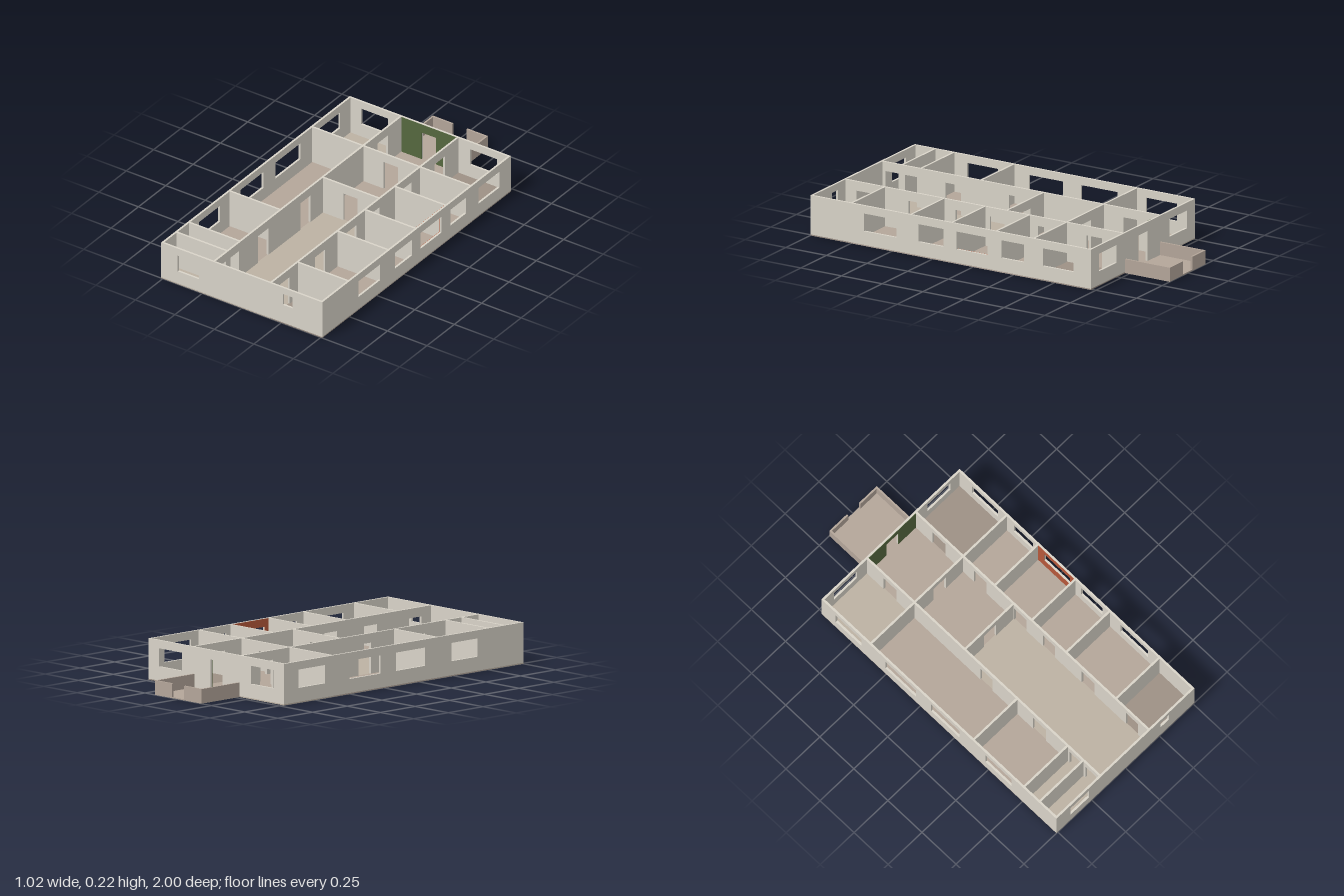
import * as THREE from 'three';

const FLOOR = 0.006, TOP = 0.22, DOOR = 0.17, SILL = 0.08, HEAD = 0.177;
const T = 0.012; // wall thickness

const mat = (color) => new THREE.MeshStandardMaterial({ color });
const wallMat = mat(0xd8d3c8), tan = mat(0xb3a599), light = mat(0xbcb1a2), dark = mat(0x9d9085);
const green = mat(0x55683f), orange = mat(0xb5583a);

const win = (a, b, y0 = SILL, y1 = HEAD) => ({ a, b, y0, y1 });
const door = (a, b) => ({ a, b });

export function createModel() {
  const model = new THREE.Group();

  function box(name, x0, x1, y0, y1, z0, z1, material) {
    const mesh = new THREE.Mesh(new THREE.BoxGeometry(x1 - x0, y1 - y0, z1 - z0), material);
    mesh.position.set((x0 + x1) / 2, (y0 + y1) / 2, (z0 + z1) / 2);
    mesh.name = name;
    model.add(mesh);
  }

  // Upright wall along x or z; doors notch the bottom edge, windows are holes
  function wall(name, axis, from, to, at, openings = [], material = wallMat, t = T, top = TOP) {
    const shape = new THREE.Shape().moveTo(from, FLOOR);
    openings.filter((o) => o.y0 === undefined).sort((p, q) => p.a - q.a).forEach(({ a, b }) => {
      shape.lineTo(a, FLOOR).lineTo(a, DOOR).lineTo(b, DOOR).lineTo(b, FLOOR);
    });
    shape.lineTo(to, FLOOR).lineTo(to, top).lineTo(from, top).closePath();
    openings.filter((o) => o.y0 !== undefined).forEach(({ a, b, y0, y1 }) => {
      shape.holes.push(new THREE.Path().moveTo(a, y0).lineTo(a, y1).lineTo(b, y1).lineTo(b, y0).closePath());
    });
    const geometry = new THREE.ExtrudeGeometry(shape, { depth: t, bevelEnabled: false });
    geometry.translate(0, 0, -t / 2);
    if (axis === 'z') geometry.rotateY(-Math.PI / 2);
    const mesh = new THREE.Mesh(geometry, material);
    mesh.position.set(axis === 'z' ? at : 0, 0, axis === 'x' ? at : 0);
    mesh.name = name;
    model.add(mesh);
  }

  const W = 0.51, H = 0.18, BACK = -0.725, FRONT = 1;

  // Room floors: [x0, x1, z0, z1, material]
  [
    [-W, -H, BACK, -0.37, light], [-W, -H, -0.37, 0.385, tan], [-W, -H, 0.385, 0.755, tan],
    [-W, -H, 0.755, FRONT, light],
    [-H, H, BACK, 0, tan], [-H, H, 0, FRONT, light],
    [H, W, BACK, -0.37, dark], [H, W, -0.37, 0.75, tan], [H, W, 0.75, FRONT, dark],
  ].forEach(([x0, x1, z0, z1, m]) => box('roomFloor', x0, x1, 0, FLOOR, z0, z1, m));

  // Outer walls
  const edge = T / 2;
  wall('frontWall', 'x', -W, W, FRONT - edge, [win(-0.405, -0.27), win(0.26, 0.32, 0.115, 0.182)]);
  wall('backWall', 'x', -W, W, BACK + edge, [win(-0.43, -0.26), door(-0.045, 0.045), win(0.26, 0.43)]);
  wall('leftWall', 'z', BACK + T, FRONT - T, W - edge, [
    win(0.47, 0.67), win(0.18, 0.335), win(-0.09, 0.1), win(-0.315, -0.175), win(-0.62, -0.43),
  ]);
  wall('rightWall', 'z', BACK + T, FRONT - T, -W + edge, [
    win(0.48, 0.67), win(0.08, 0.29), win(-0.255, -0.03), win(-0.62, -0.43),
  ]);

  // Long inner walls beside the hall and corridor
  wall('leftHallWall', 'z', BACK + T, FRONT - T, H, [
    door(-0.59, -0.495), door(-0.285, -0.195), door(0.01, 0.1),
    door(0.22, 0.31), door(0.505, 0.6), door(0.83, 0.92),
  ]);
  wall('rightHallWall', 'z', BACK + T, FRONT - T, -H, [
    door(-0.59, -0.495), door(0.12, 0.21), door(0.505, 0.6), door(0.775, 0.85), door(0.89, 0.97),
  ]);

  // Cross walls between rooms
  [-0.37, 0.385, 0.755, 0.87].forEach((z) => wall('rightPartition', 'x', -W + T, -H - edge, z));
  [-0.37, -0.14, 0.133, 0.385, 0.75].forEach((z) => wall('leftPartition', 'x', H + edge, W - T, z));
  [-0.37, 0].forEach((z) => wall('hallPartition', 'x', -H + edge, H - edge, z, [door(-0.045, 0.045)]));

  // Coloured feature walls
  wall('greenWallPanel', 'x', -H + edge, H - edge, BACK + T + 0.001, [door(-0.045, 0.045)], green, 0.002, TOP - 0.001);
  wall('orangeWallPanel', 'z', -0.134, 0.127, W - T - 0.001, [win(-0.09, 0.1)], orange, 0.002, TOP - 0.001);

  // Porch with low parapet and a gap for the entrance
  const P = 0.175, RAIL = 0.077, END = -1;
  box('porchFloor', -P, P, 0, FLOOR, END, BACK, tan);
  for (const s of [-1, 1]) {
    const span = (a, b) => [Math.min(s * a, s * b), Math.max(s * a, s * b)];
    box('porchSideWall', ...span(P - 0.01, P), FLOOR, RAIL, END, BACK, tan);
    box('porchBackWall', ...span(0.045, P - 0.01), FLOOR, RAIL, END, END + 0.01, tan);
  }

  return model;
}
